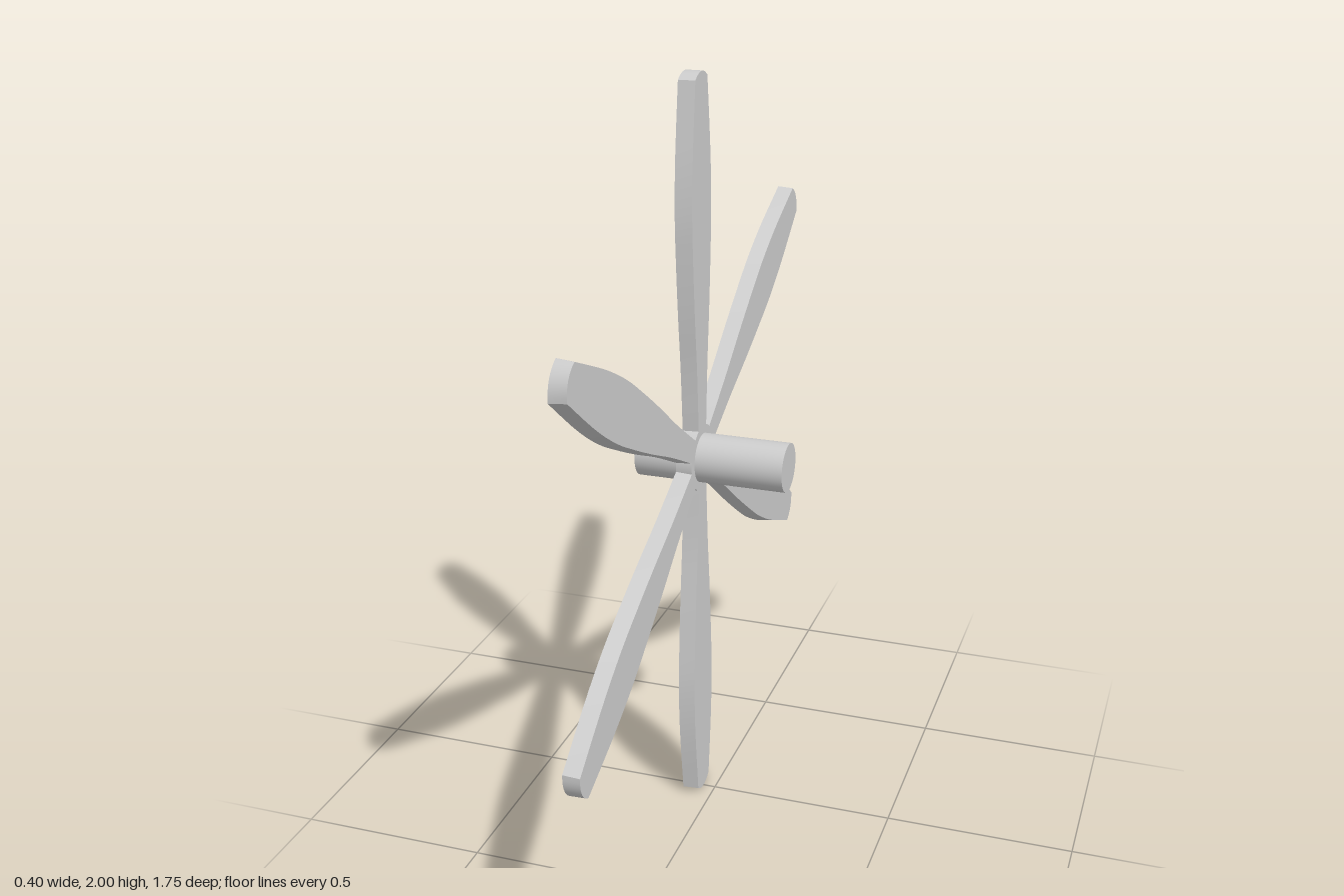
import * as THREE from 'three';
import { toCreasedNormals } from 'three/addons/utils/BufferGeometryUtils.js';

const CENTRE_Y = 1;
const BLADE_X = -0.077; // plane of the wider blade face
const THICKNESS = 0.043;

// Blade outline: [distance from axis, half width]
const OUTLINE = [[0.05, 0.03], [0.1, 0.034], [0.25, 0.045], [0.4, 0.062], [0.54, 0.074], [0.66, 0.08], [0.8, 0.073], [0.984, 0.049]];

function bladeGeometry() {
  const side = new THREE.SplineCurve(OUTLINE.map(([r, w]) => new THREE.Vector2(w, r))).getPoints(24);
  const shape = new THREE.Shape();
  side.forEach((p, i) => (i ? shape.lineTo(p.x, p.y) : shape.moveTo(p.x, p.y)));
  // shallow rounded tip
  shape.quadraticCurveTo(0, 1.016, -0.049, 0.984);
  side.reverse().slice(1).forEach((p) => shape.lineTo(-p.x, p.y));
  shape.closePath();

  const geo = new THREE.ExtrudeGeometry(shape, { depth: THICKNESS, bevelEnabled: false, curveSegments: 8 });
  // one face is slightly narrower, so the long edges slope
  const pos = geo.attributes.position;
  for (let i = 0; i < pos.count; i++) {
    if (pos.getZ(i) > THICKNESS / 2) pos.setX(i, pos.getX(i) * 0.92);
  }
  geo.rotateY(Math.PI / 2);
  geo.translate(BLADE_X, 0, 0);
  return toCreasedNormals(geo, 0.5);
}

export function createModel() {
  const group = new THREE.Group();
  group.name = 'propeller';
  const material = new THREE.MeshStandardMaterial({ color: 0xcccccc });

  // Solid cylinder lying along x
  const rod = (name, radius, length, x) => {
    const geo = new THREE.CylinderGeometry(radius, radius, length, 48).rotateZ(Math.PI / 2);
    const mesh = new THREE.Mesh(geo, material);
    mesh.name = name;
    mesh.position.set(x, CENTRE_Y, 0);
    group.add(mesh);
  };
  rod('shaft', 0.065, 0.4, 0);
  rod('hubDisc', 0.088, THICKNESS, BLADE_X + THICKNESS / 2);

  // Six blades around the hub
  const geo = bladeGeometry();
  for (let i = 0; i < 6; i++) {
    const blade = new THREE.Mesh(geo, material);
    blade.name = `blade${i + 1}`;
    blade.position.y = CENTRE_Y;
    blade.rotation.x = (i * Math.PI) / 3;
    group.add(blade);
  }
  return group;
}
